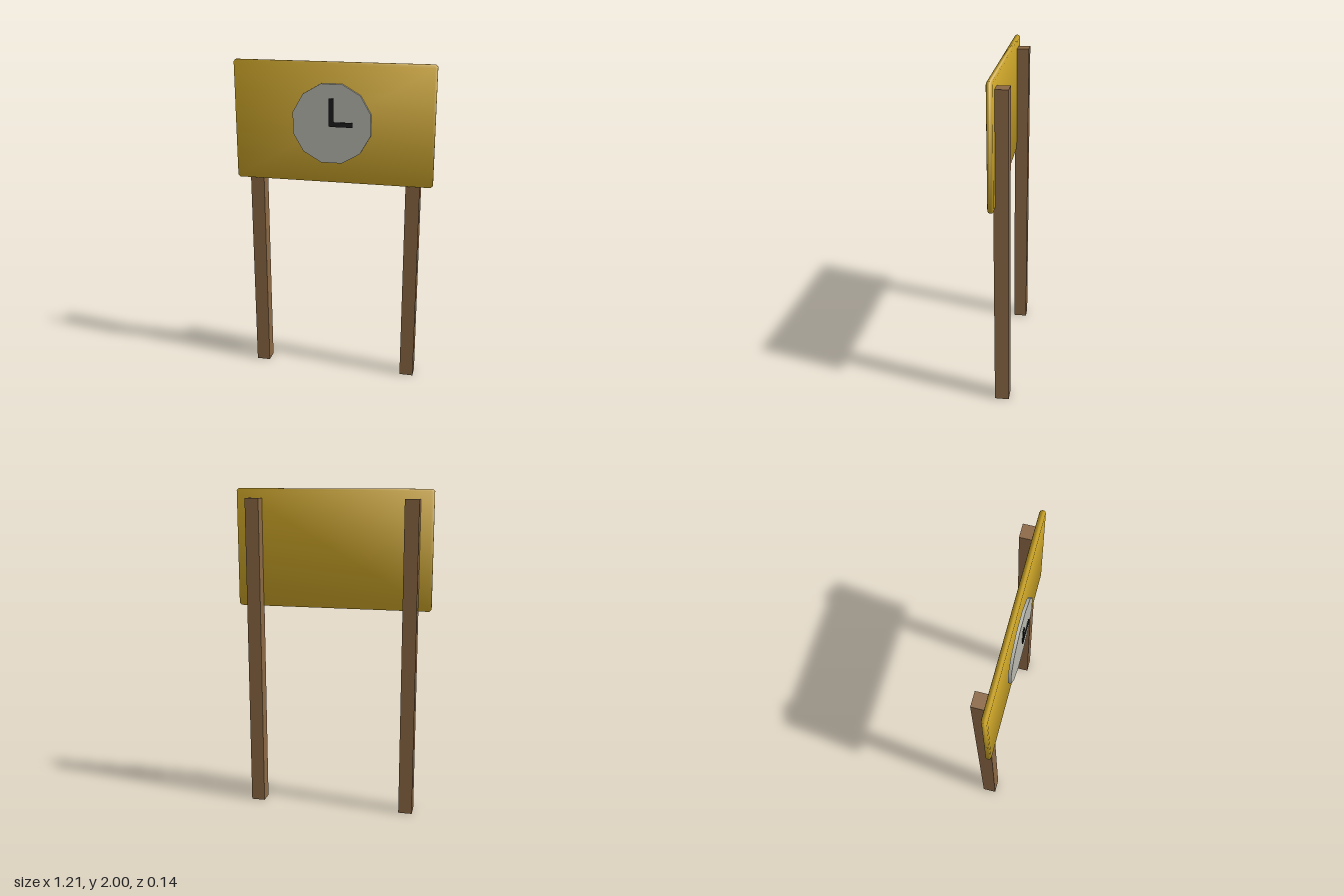
import * as THREE from 'three';

const paint = (name, color) => {
  const m = new THREE.MeshStandardMaterial({ color });
  m.name = name;
  return m;
};

// Thin panel with bevelled rim and soft, outward-leaning normals
function boardGeometry(width, height, thickness, bevel) {
  const x = width / 2 - bevel, y = height / 2 - bevel, c = 0.006;
  const shape = new THREE.Shape([
    [x - c, -y], [x, -y + c], [x, y - c], [x - c, y],
    [-x + c, y], [-x, y - c], [-x, -y + c], [-x + c, -y],
  ].map(([px, py]) => new THREE.Vector2(px, py)));
  const depth = thickness - 2 * bevel;
  const geo = new THREE.ExtrudeGeometry(shape, {
    depth, bevelEnabled: true, bevelSize: bevel, bevelThickness: bevel, bevelSegments: 2,
  });
  geo.translate(0, 0, -depth / 2);
  const p = geo.attributes.position, n = new THREE.Vector3();
  for (let i = 0; i < p.count; i++) {
    n.set(Math.sign(p.getX(i)) * 0.4, Math.sign(p.getY(i)) * 0.4, p.getZ(i) / (thickness / 2)).normalize();
    geo.attributes.normal.setXYZ(i, n.x, n.y, n.z);
  }
  return geo;
}

export function createModel() {
  const group = new THREE.Group();
  group.name = 'clockSign';
  const gold = paint('gold', 0xc9a227);
  const wood = paint('wood', 0x8b6845);
  const pale = paint('paleGrey', 0xb8b8b0);
  const black = paint('black', 0x1c1c1c);

  const add = (name, geo, mat, x, y, z) => {
    const mesh = new THREE.Mesh(geo, mat);
    mesh.name = name;
    mesh.position.set(x, y, z);
    group.add(mesh);
    return mesh;
  };

  // Square posts behind the board
  for (const [name, side] of [['leftPost', 1], ['rightPost', -1]]) {
    add(name, new THREE.BoxGeometry(0.085, 1.943, 0.085), wood, side * 0.484, 0.9715, -0.03);
  }

  // Sign board
  add('board', boardGeometry(1.21, 0.722, 0.034, 0.012), gold, 0, 1.639, 0.018);

  // Twelve-sided clock face, flat edge up
  const dial = new THREE.CylinderGeometry(0.243, 0.243, 0.018, 12);
  dial.rotateY(Math.PI / 12).rotateX(Math.PI / 2);
  add('clockFace', dial, pale, -0.002, 1.642, 0.05);

  // Hands, floating just ahead of the face
  add('minuteHand', new THREE.BoxGeometry(0.028, 0.165, 0.006), black, -0.002, 1.711, 0.066);
  add('hourHand', new THREE.BoxGeometry(0.136, 0.028, 0.006), black, 0.058, 1.641, 0.0655);

  return group;
}
